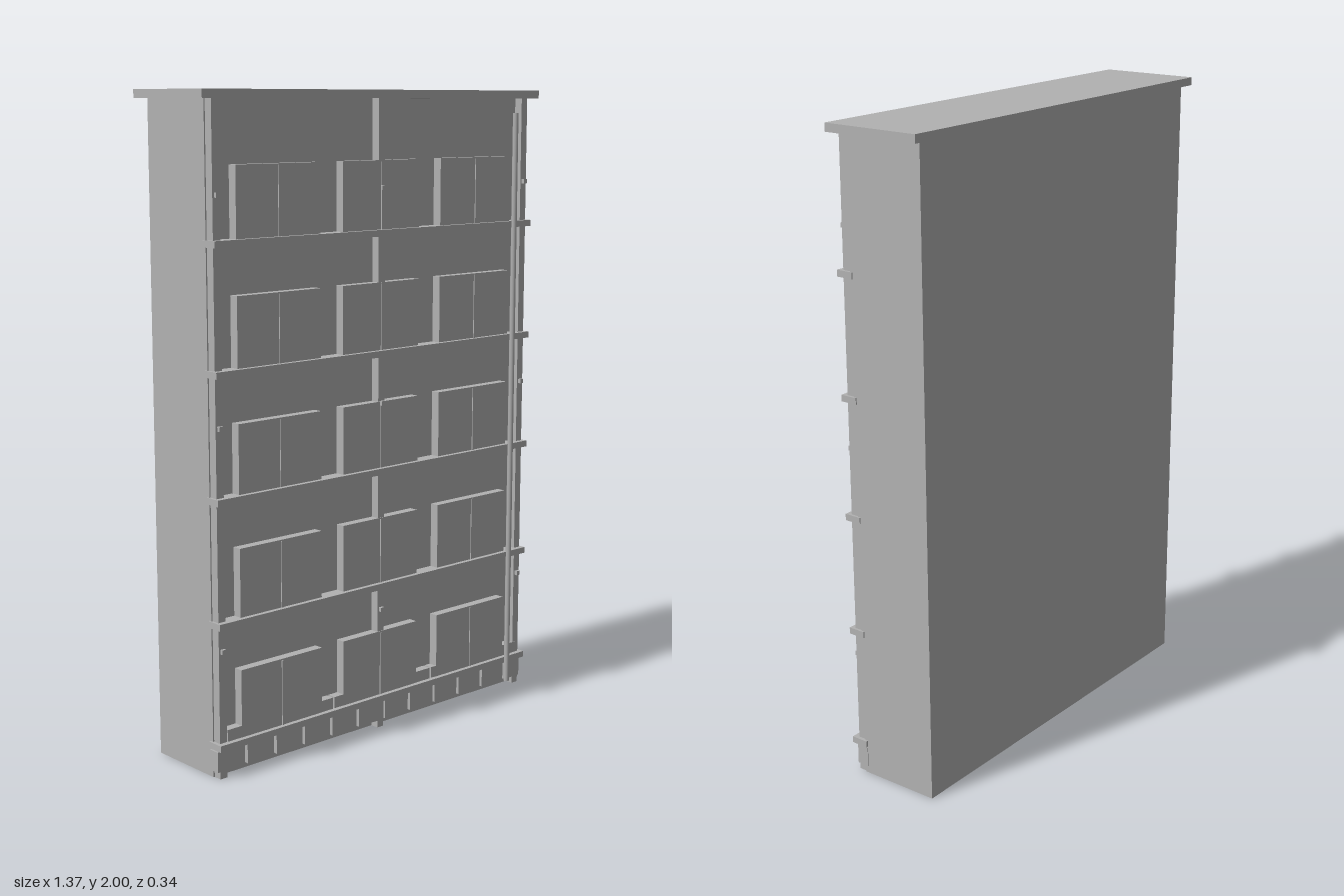
import * as THREE from 'three';

export function createModel() {
  const model = new THREE.Group();
  model.name = 'facade';
  const grey = new THREE.MeshStandardMaterial({ color: 0xb2b2b2 });
  grey.name = 'plain grey';

  // Box given by its lower and upper limits on each axis
  function box(name, x0, x1, y0, y1, z0, z1) {
    const mesh = new THREE.Mesh(new THREE.BoxGeometry(x1 - x0, y1 - y0, z1 - z0), grey);
    mesh.position.set((x0 + x1) / 2, (y0 + y1) / 2, (z0 + z1) / 2);
    mesh.name = name;
    model.add(mesh);
  }

  const wallZ = 0.11, reliefZ = 0.138, beltZ = 0.155;
  const floorHeight = 0.3685;

  // Main block and overhanging roof slab
  box('wall', -0.65, 0.65, 0, 1.975, -0.153, wallZ);
  box('roof', -0.687, 0.687, 1.975, 2, -0.169, 0.151);

  // Vertical posts with small brackets
  for (const x of [-0.633, 0, 0.633]) {
    box('post', x - 0.013, x + 0.013, 0, 1.975, wallZ - 0.01, reliefZ);
    for (const y of [0.39, 1.05, 1.71]) {
      box('bracket', x - 0.007, x + 0.007, y - 0.007, y + 0.007, reliefZ - 0.01, 0.148);
    }
  }

  for (let i = 0; i < 5; i++) {
    const beltY = 0.1 + i * floorHeight;
    const edge = i === 0 ? 0.657 : 0.654;
    box('ledge', -edge, edge, beltY - 0.01, beltY + 0.01, wallZ - 0.01, beltZ);

    // Three windows per storey, each divided by a slim mullion
    for (const x of [-0.407, -0.002, 0.407]) {
      const top = 0.318 + i * floorHeight;
      box('window', x - 0.158, x + 0.158, beltY + 0.01, top, wallZ - 0.01, 0.14);
      box('mullion', x - 0.003, x + 0.003, beltY + 0.01, top - 0.004, 0.139, 0.143);
    }
  }

  // Lower course of plinth blocks
  const pitch = 0.1125;
  for (let i = 0; i < 12; i++) {
    const x = -0.656 + i * pitch;
    box('plinthBlock', x, Math.min(x + 0.102, 0.652), 0.023, 0.086, wallZ - 0.01, 0.139);
  }

  // Shorter upper course, staggered over the lower one
  for (let i = 0; i < 12; i++) {
    const x = -0.618 + i * 0.1055;
    box('upperBlock', x, x + 0.099, 0.11, 0.146, wallZ - 0.01, 0.139);
  }

  // Drainpipe
  const pipe = new THREE.Mesh(new THREE.CylinderGeometry(0.009, 0.009, 1.903, 8), grey);
  pipe.position.set(0.568, 0.978, 0.16);
  pipe.name = 'drainpipe';
  model.add(pipe);

  return model;
}
